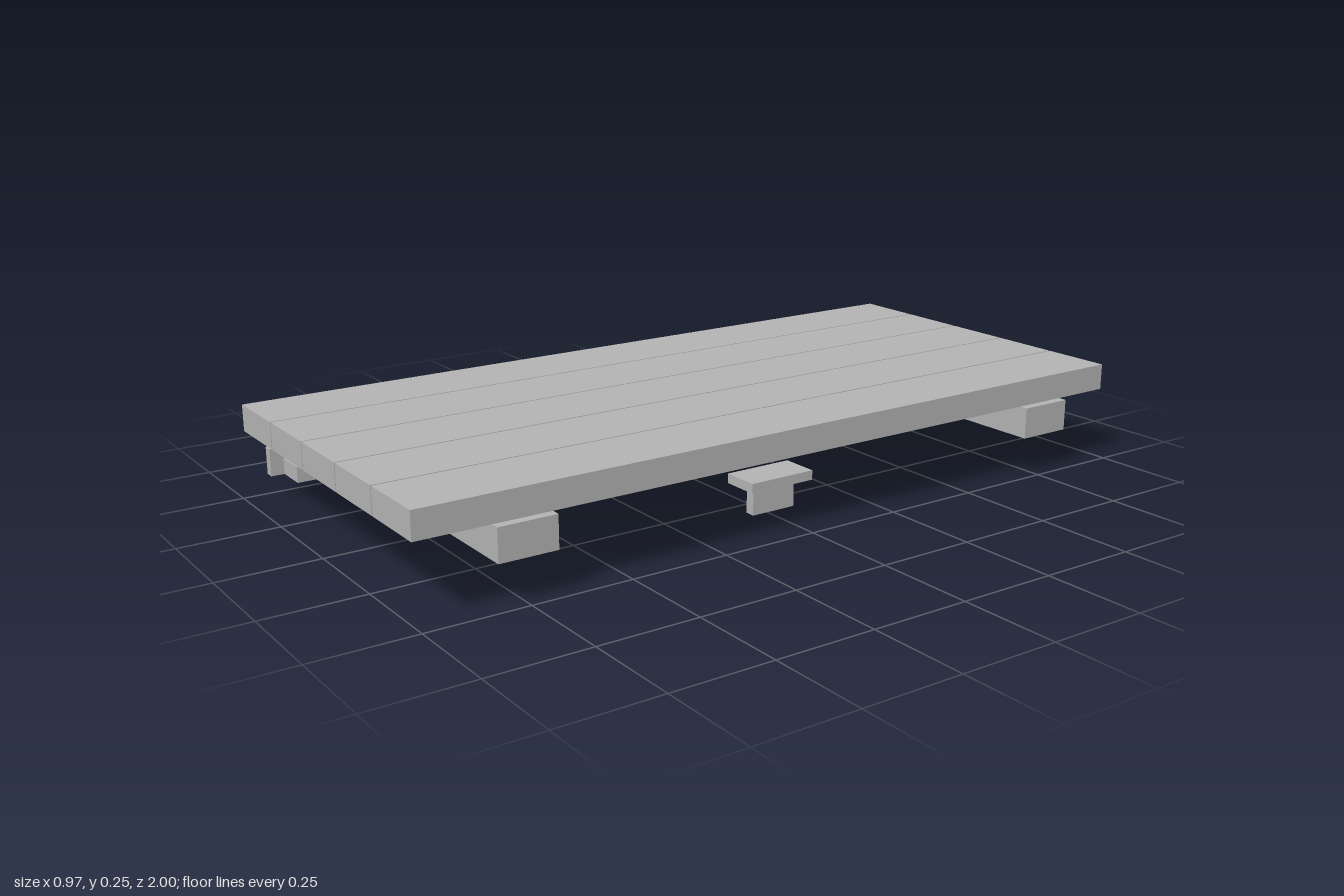
import * as THREE from 'three';

export function createModel() {
  const model = new THREE.Group();
  model.name = 'plankPlatform';
  const grey = new THREE.MeshStandardMaterial({ color: 0xb2b2b2 });
  grey.name = 'grey';

  // Box given by its extents on each axis
  function box(name, [x0, x1], [y0, y1], [z0, z1], parent = model) {
    const mesh = new THREE.Mesh(new THREE.BoxGeometry(x1 - x0, y1 - y0, z1 - z0), grey);
    mesh.position.set((x0 + x1) / 2, (y0 + y1) / 2, (z0 + z1) / 2);
    mesh.name = name;
    parent.add(mesh);
  }

  // Deck of five long planks with narrow gaps
  const left = -0.454, pitch = 0.186, width = 0.182;
  for (let i = 0; i < 5; i++) {
    const x = left + i * pitch;
    box('plank', [x, x + width], [0.185, 0.252], [-1, 1]);
  }

  // Cross beams, each with a bolted strip and an end bracket
  const supports = [
    { beamZ: 0.743, bracketZ: 0.795 },
    { beamZ: -0.784, bracketZ: -0.826 },
  ];
  for (const { beamZ, bracketZ } of supports) {
    const support = new THREE.Group();
    support.name = 'crossSupport';
    model.add(support);
    const around = (c, half) => [c - half, c + half];
    box('crossBeam', [-0.454, 0.482], [0.1, 0.18], around(beamZ, 0.072), support);
    box('mountingStrip', [-0.45, 0.43], [0.09, 0.1], around(beamZ, 0.025), support);
    for (const x of [-0.337, 0.015, 0.354]) {
      box('bolt', around(x, 0.0125), [0.077, 0.09], around(beamZ, 0.0125), support);
    }
    box('bracketPlate', [-0.474, -0.449], [0.06, 0.13], around(bracketZ, 0.148), support);
    box('bracketBlock', [-0.485, -0.364], [0.06, 0.1], around(bracketZ, 0.114), support);
  }

  // Handle hanging under the middle of the deck
  box('handlePlate', [0.265, 0.362], [0.072, 0.096], [-0.108, 0.074]);
  box('handleGrip', [0.3, 0.326], [0, 0.072], [-0.08, 0.043]);

  return model;
}
